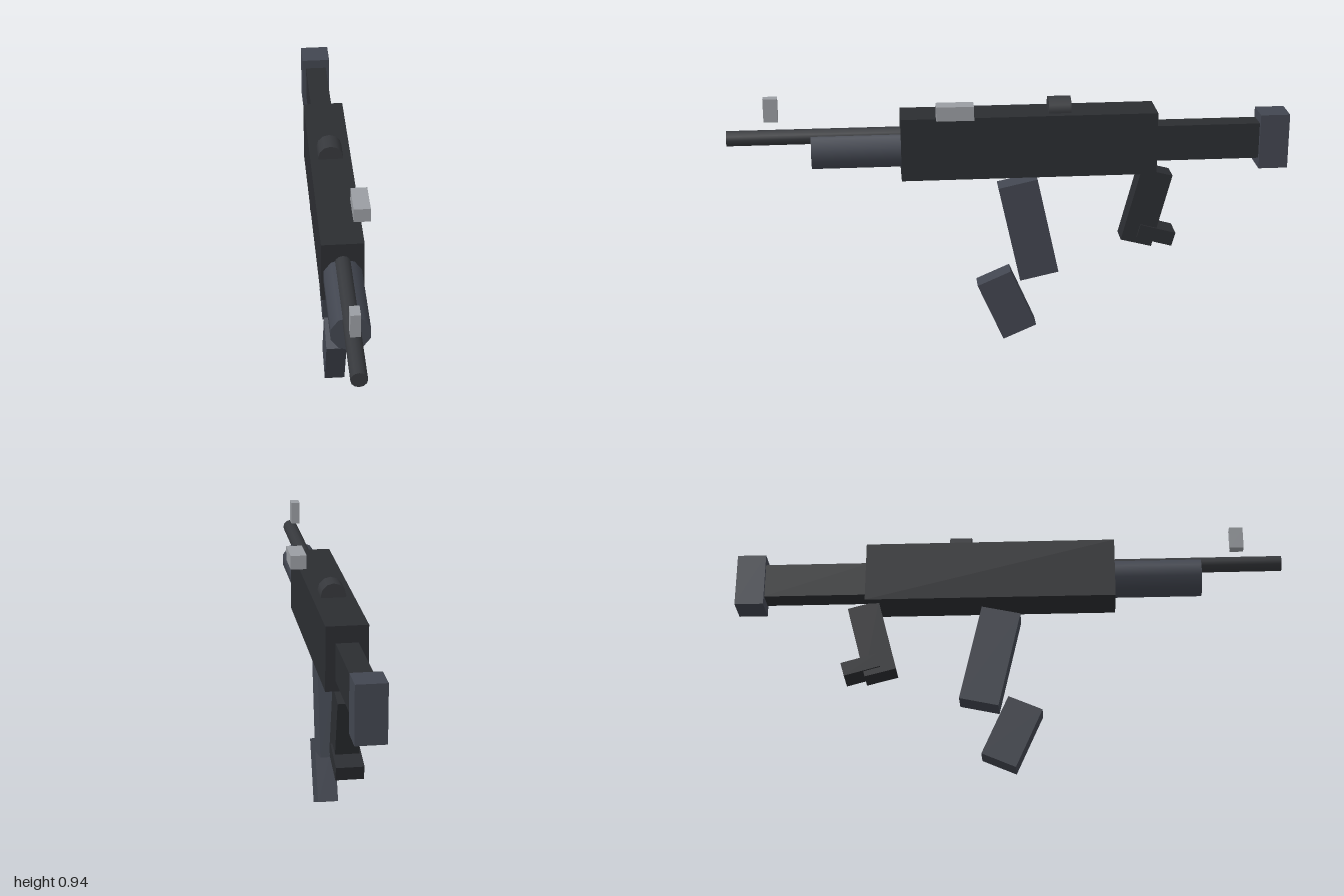
import * as THREE from 'three';

export function createModel() {
  const model = new THREE.Group();
  model.name = 'rifle';
  const mid = -0.0175; // shared centre line of the body

  const material = (color) => new THREE.MeshStandardMaterial({ color });
  const black = material(0x2b2d31);
  const slate = material(0x424650);
  const steel = material(0x36383c);
  const grey = material(0x9a9da2);

  function add(name, geometry, mat, x, y, z, tilt = 0) {
    const mesh = new THREE.Mesh(geometry, mat);
    mesh.name = name;
    mesh.position.set(x, y, z);
    mesh.rotation.x = tilt;
    model.add(mesh);
  }
  // size is [x, y, z], tilt leans the block in the side plane
  const block = (name, mat, size, x, y, z, tilt) =>
    add(name, new THREE.BoxGeometry(...size), mat, x, y, z, tilt);
  // cylinder lying along z from z0 to z1
  const rod = (name, mat, radius, sides, y, z0, z1) =>
    add(name, new THREE.CylinderGeometry(radius, radius, z1 - z0, sides), mat,
      mid, y, (z0 + z1) / 2, Math.PI / 2);

  // Main body
  block('receiver', black, [0.145, 0.227, 0.91], mid, 0.766, -0.065);
  rod('handguard', slate, 0.068, 10, 0.752, 0.38, 0.705);
  rod('barrel', steel, 0.0275, 12, 0.805, 0.38, 1);

  // Shoulder stock
  block('stock', black, [0.077, 0.13, 0.39], mid, 0.755, -0.705);
  block('buttPlate', slate, [0.104, 0.2, 0.105], mid, 0.754, -0.9475);

  // Two-piece bent magazine
  block('upperMagazine', slate, [0.08, 0.369, 0.144], mid, 0.436, -0.065, 0.215);
  block('lowerMagazine', slate, [0.074, 0.236, 0.132], mid, 0.142, 0.014, 0.413);

  // Rear grip and its foot
  block('grip', black, [0.082, 0.28, 0.116], mid, 0.511, -0.493, -0.255);
  block('gripFoot', black, [0.096, 0.052, 0.134], mid, 0.405, -0.53, -0.27);

  // Sights and side block
  rod('rearSight', steel, 0.0445, 12, 0.886, -0.215, -0.135);
  block('frontSight', grey, [0.033, 0.084, 0.05], mid, 0.908, 0.842);
  block('sideBlock', grey, [0.058, 0.051, 0.132], 0.058, 0.906, 0.2);

  return model;
}
